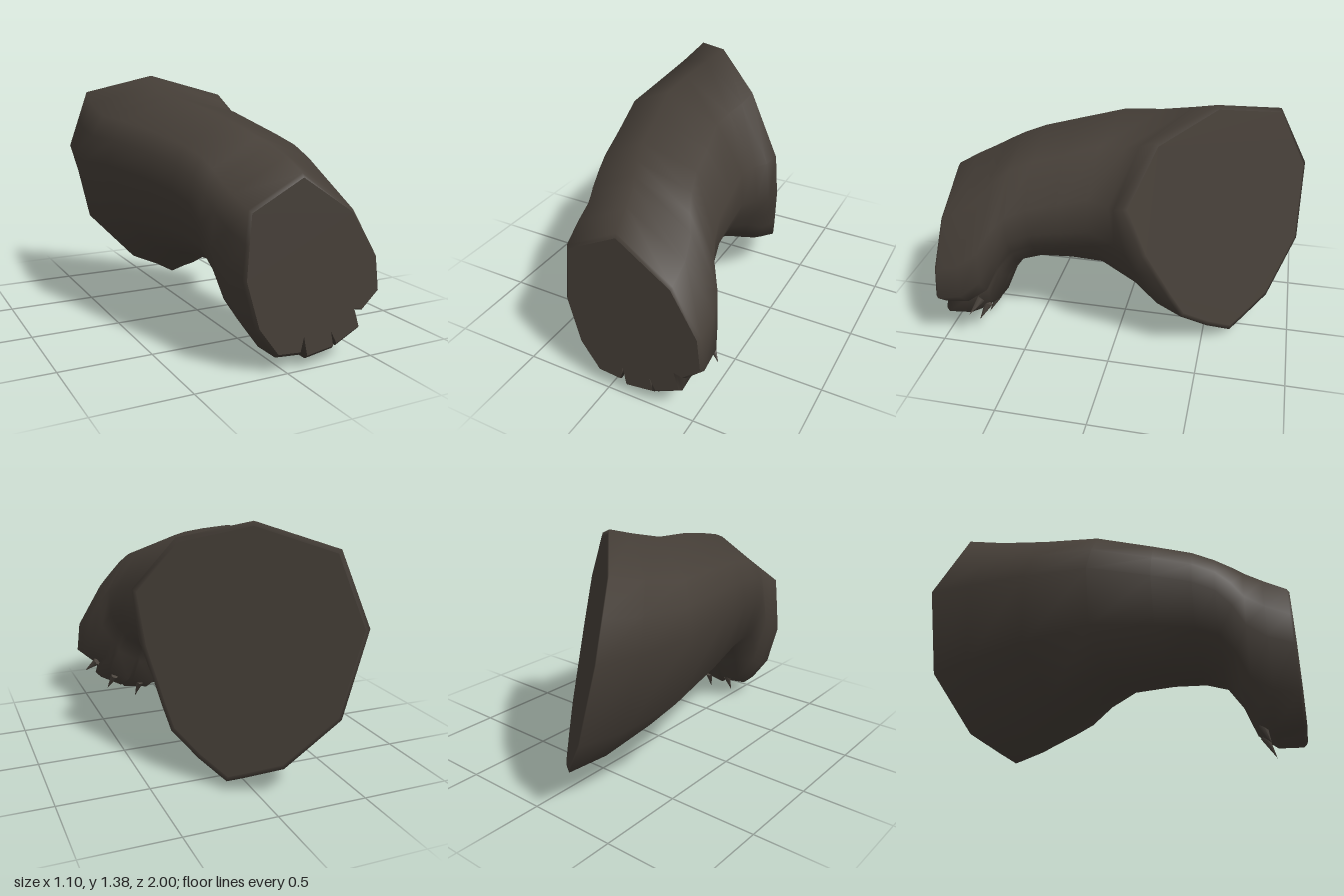
import * as THREE from 'three';

// Cut outlines, clockwise from the top: paw end (with toe notches) and shoulder end
const PAW = [[.08, .98], [.38, .78], [.53, .53], [.55, .35], [.45, .26], [.4, .27], [.43, .17], [.29, .1], [.255, .17],
  [.27, .09], [.11, .065], [.09, .17], [.07, .09], [-.06, .1], [-.17, .25], [-.24, .5], [-.225, .67], [-.21, .83]];
const SHOULDER = [[-.08, 1.39], [.24, 1.28], [.45, .99], [.43, .7], [.4, .55], [.37, .4], [.34, .27], [.27, .19], [.235, .15],
  [.2, .12], [.16, .085], [.13, .06], [.05, .1], [-.1, .18], [-.33, .47], [-.46, .92], [-.425, 1.1], [-.39, 1.28]];

// Stations: blend, roundness, left, right, bottom, top, z, z-slope along x, z-slope along y
const STATIONS = [
  [0, 0, -.225, .535, .08, .96, .985, 0, -.03],
  [0, 0, -.24, .55, .06, .98, .97, 0, -.02],
  [.03, .1, -.265, .55, .06, 1.05, .84, 0, 0],
  [.1, .35, -.285, .51, .13, 1.1, .735, 0, 0],
  [.2, .6, -.31, .455, .29, 1.13, .67, 0, 0],
  [.3, .75, -.335, .415, .4, 1.165, .59, 0, 0],
  [.4, .75, -.375, .385, .425, 1.205, .47, 0, 0],
  [.5, .75, -.43, .37, .42, 1.25, .28, .06, 0],
  [.65, .75, -.53, .36, .385, 1.3, .03, .25, .05],
  [.8, .65, -.555, .385, .25, 1.315, -.22, .47, .14],
  [.92, .35, -.515, .43, .13, 1.355, -.43, .78, .22],
  [1, 0, -.46, .45, .06, 1.39, -.605, 1, .286],
  [1, 0, -.443, .433, .085, 1.365, -.61, 1, .286],
];

// Scale an outline to the range -1..1 on both axes
function unit(outline) {
  const box = new THREE.Box2().setFromPoints(outline.map(p => new THREE.Vector2(...p)));
  const c = box.getCenter(new THREE.Vector2()), s = box.getSize(new THREE.Vector2());
  return outline.map(([x, y]) => new THREE.Vector2((x - c.x) / s.x * 2, (y - c.y) / s.y * 2));
}

// Blend the two outlines, ease them towards an ellipse and place them on a sloping plane
function makeRing([t, round, l, r, b, top, z, sx, sy], paw, shoulder) {
  return paw.map((p, j) => {
    const q = p.clone().lerp(shoulder[j], t);
    q.lerp(q.clone().normalize(), round);
    const u = q.x * (r - l) / 2, v = q.y * (top - b) / 2;
    return new THREE.Vector3((l + r) / 2 + u, (b + top) / 2 + v, z + u * sx + v * sy);
  });
}

// Skin stretched over successive rings
function loft(rings) {
  const n = rings[0].length, index = [];
  for (let i = 0; i < rings.length - 1; i++) {
    for (let j = 0; j < n; j++) {
      const a = i * n + j, b = i * n + (j + 1) % n;
      index.push(a, b, a + n, b, b + n, a + n);
    }
  }
  const geo = new THREE.BufferGeometry().setFromPoints(rings.flat());
  geo.setIndex(index);
  geo.computeVertexNormals();
  return geo;
}

// Flat cap closing a ring that lies in a sloping plane
function cap(ring, [, , l, r, b, top, z, sx, sy], faceBack) {
  const geo = new THREE.ShapeGeometry(new THREE.Shape(ring.map(p => new THREE.Vector2(p.x, p.y))));
  const pos = geo.attributes.position;
  for (let i = 0; i < pos.count; i++) {
    pos.setZ(i, z + (pos.getX(i) - (l + r) / 2) * sx + (pos.getY(i) - (b + top) / 2) * sy);
  }
  if (faceBack) geo.index.array.reverse();
  geo.computeVertexNormals();
  return geo;
}

export function createModel() {
  const group = new THREE.Group();
  const hide = new THREE.MeshStandardMaterial({ color: 0x453e37 });
  hide.name = 'dark brown hide';
  const horn = new THREE.MeshStandardMaterial({ color: 0x4b443d });
  horn.name = 'grey brown claw';
  const add = (geo, mat, name) => {
    const mesh = new THREE.Mesh(geo, mat);
    mesh.name = name;
    group.add(mesh);
    return mesh;
  };

  // Limb from paw to shoulder
  const paw = unit(PAW), shoulder = unit(SHOULDER);
  const rings = STATIONS.map(s => makeRing(s, paw, shoulder));
  const last = STATIONS.length - 1;
  add(loft(rings), hide, 'limb');
  add(cap(rings[0], STATIONS[0], false), hide, 'pawCap');
  add(cap(rings[last], STATIONS[last], true), hide, 'shoulderCap');

  // Claws: base and tip of each
  const claws = [
    [[.02, .15, .77], [.01, .04, .81]],
    [[.17, .13, .77], [.19, .01, .83]],
    [[.35, .2, .76], [.39, .1, .81]],
    [[.47, .32, .75], [.54, .25, .8]],
  ];
  for (const [base, tip] of claws) {
    const from = new THREE.Vector3(...base), to = new THREE.Vector3(...tip);
    const dir = to.clone().sub(from);
    const claw = add(new THREE.ConeGeometry(.025, dir.length(), 6), horn, 'claw');
    claw.position.copy(from).add(to).multiplyScalar(.5);
    claw.quaternion.setFromUnitVectors(new THREE.Vector3(0, 1, 0), dir.normalize());
  }
  return group;
}
